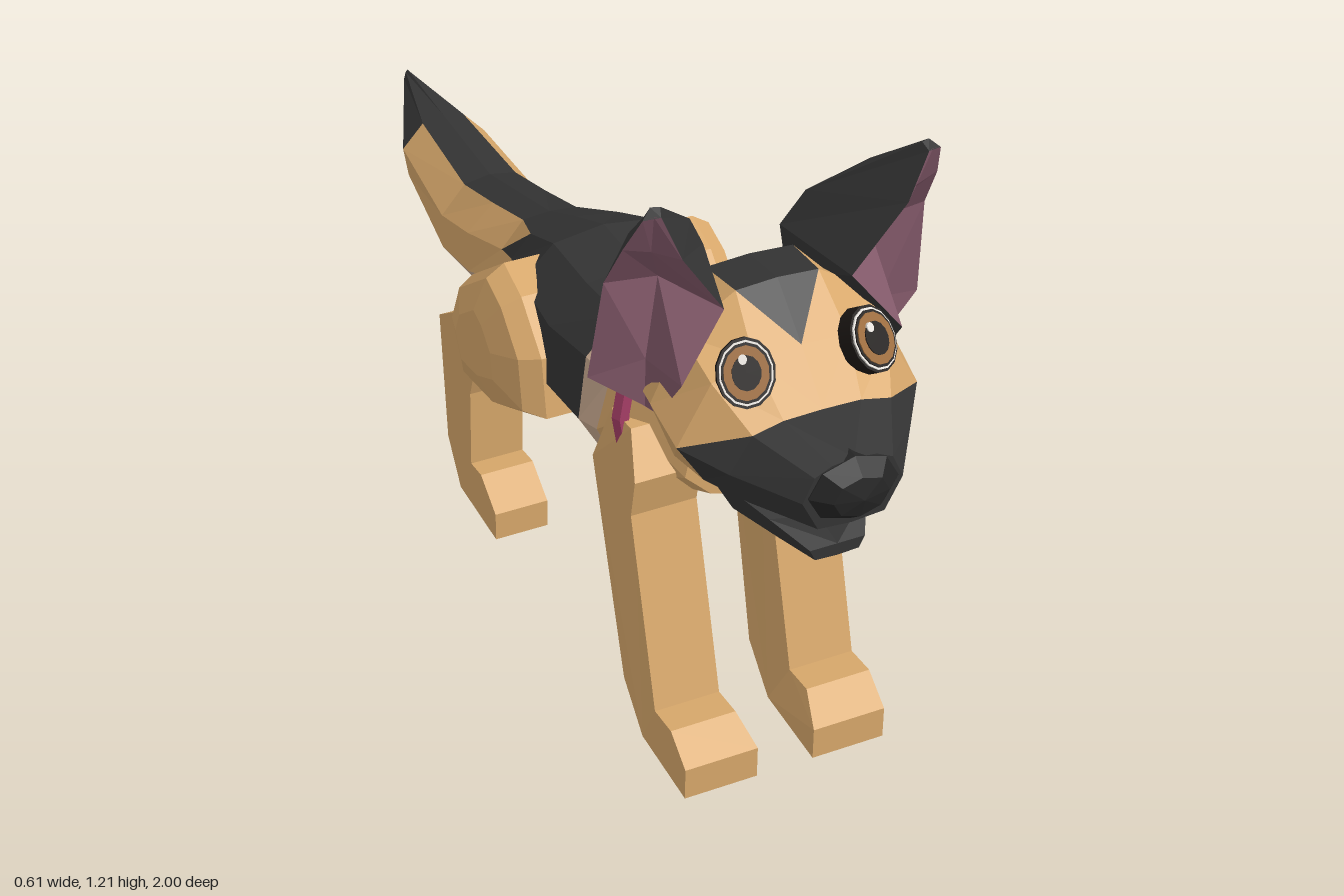
import * as THREE from 'three';

const COLORS = {
  tanFur: 0xd9a96c, blackFur: 0x343434, paleFur: 0xcbac92, earPink: 0x83596a,
  collarPink: 0xa83f68, noseBlack: 0x252525, eyeAmber: 0x9c6a38, pupilDark: 0x1c1714, glintWhite: 0xf4f0ea,
};
const mats = {};
for (const [name, color] of Object.entries(COLORS)) {
  mats[name] = new THREE.MeshStandardMaterial({ color });
  mats[name].name = name;
}
const palette = [mats.tanFur, mats.blackFur, mats.paleFur, mats.earPink];
const TAN = 0, BLACK = 1, PALE = 2, PINK = 3;

// Faceted normals for any geometry
function facet(geo) {
  const g = geo.index ? geo.toNonIndexed() : geo;
  g.computeVertexNormals();
  return g;
}

// Skin over rings of [x, y, z]; paint(i, j, t) picks the colour of each triangle
function loft(rings, paint, closed = true) {
  const bins = palette.map(() => []);
  const n = rings[0].length, last = rings.length - 1;
  const tri = (m, ...pts) => pts.forEach((p) => bins[m].push(...p));
  for (let i = 0; i < last; i++) {
    for (let j = 0; j < (closed ? n : n - 1); j++) {
      const k = (j + 1) % n;
      const a = rings[i][j], b = rings[i][k], c = rings[i + 1][j], d = rings[i + 1][k];
      tri(paint(i, j, 0), a, b, d);
      tri(paint(i, j, 1), a, d, c);
    }
  }
  for (let j = 1; j < n - 1; j++) {
    tri(paint(0, j, 0), rings[0][0], rings[0][j + 1], rings[0][j]);
    tri(paint(last - 1, j, 0), rings[last][0], rings[last][j], rings[last][j + 1]);
  }
  const geo = new THREE.BufferGeometry();
  const pos = bins.flat();
  geo.setAttribute('position', new THREE.Float32BufferAttribute(pos, 3));
  let start = 0;
  bins.forEach((b, m) => {
    if (b.length) geo.addGroup(start, b.length / 3, m);
    start += b.length / 3;
  });
  return facet(geo);
}

// Half sections: [z, [x, y], ...] from top centre round to bottom centre
const sections = (rows) => rows.map(([z, ...pts]) => pts.map(([x, y]) => [x, y, z]));

// Mirror a non-indexed geometry across x = 0
function mirror(geo) {
  const g = geo.clone(), src = geo.attributes.position, dst = g.attributes.position;
  for (let i = 0; i < src.count; i++) {
    const k = i % 3 === 0 ? i : i % 3 === 1 ? i + 1 : i - 1;
    dst.setXYZ(i, -src.getX(k), src.getY(k), src.getZ(k));
  }
  g.computeVertexNormals();
  return g;
}

// Side profile of [z, y] points, extruded across x
function slab(profile, x0, x1, rule) {
  const shape = new THREE.Shape(profile.map(([z, y]) => new THREE.Vector2(z, y)));
  const g = new THREE.ExtrudeGeometry(shape, { depth: x1 - x0, bevelEnabled: false });
  g.rotateY(-Math.PI / 2).translate(x1, 0, 0);
  const p = g.attributes.position;
  for (let i = 0; i < p.count; i++) p.setX(i, rule(p.getX(i), p.getY(i), p.getZ(i)));
  g.clearGroups();
  return facet(g);
}

export function createModel() {
  const dog = new THREE.Group();
  dog.name = 'dog';
  const add = (name, geo, mat, parent = dog) => {
    const m = new THREE.Mesh(geo, mat);
    m.name = name;
    parent.add(m);
    return m;
  };
  const pair = (name, geo, mat) => {
    add(name + 'Left', geo, mat);
    add(name + 'Right', mirror(geo), mat);
  };

  // Body, chest to rump
  const rump = [-0.25, [0, 0.56], [0.055, 0.555], [0.10, 0.50], [0.11, 0.43], [0.07, 0.35], [0, 0.32]];
  const bodyRings = sections([
    [0.58, [0, 0.64], [0.06, 0.63], [0.10, 0.59], [0.11, 0.54], [0.06, 0.49], [0, 0.47]],
    [0.46, [0, 0.77], [0.09, 0.75], [0.145, 0.69], [0.165, 0.60], [0.14, 0.47], [0, 0.41]],
    [0.38, [0, 0.69], [0.10, 0.68], [0.16, 0.63], [0.185, 0.53], [0.14, 0.43], [0, 0.39]],
    [0.29, [0, 0.70], [0.10, 0.69], [0.165, 0.62], [0.18, 0.49], [0.13, 0.40], [0, 0.375]],
    [0.15, [0, 0.685], [0.10, 0.67], [0.175, 0.60], [0.185, 0.48], [0.12, 0.39], [0, 0.365]],
    [0, [0, 0.68], [0.10, 0.665], [0.165, 0.60], [0.17, 0.47], [0.11, 0.37], [0, 0.33]],
    [-0.13, [0, 0.62], [0.09, 0.605], [0.13, 0.56], [0.15, 0.46], [0.10, 0.34], [0, 0.31]],
    rump,
  ]);
  const coat = [
    [TAN, TAN, TAN, TAN, TAN], [BLACK, TAN, TAN, TAN, TAN], [BLACK, PALE, PALE, PALE, PALE],
    [BLACK, BLACK, BLACK, PALE, PALE], [BLACK, BLACK, BLACK, PALE, PALE],
    [BLACK, BLACK, TAN, TAN, PALE], [BLACK, TAN, TAN, TAN, PALE],
  ];
  pair('body', loft(bodyRings, (i, j, t) => (i === 6 && j === 1 && t === 0 ? BLACK : coat[i][Math.min(j, 4)]), false), palette);

  // Tail with dark stripe, pale underside and dark tip
  const tailRings = sections([
    rump,
    [-0.40, [0, 0.515], [0.055, 0.505], [0.11, 0.45], [0.11, 0.36], [0.06, 0.285], [0, 0.275]],
    [-0.55, [0, 0.47], [0.055, 0.46], [0.105, 0.40], [0.105, 0.325], [0.05, 0.245], [0, 0.235]],
    [-0.80, [0, 0.47], [0.045, 0.46], [0.09, 0.41], [0.08, 0.345], [0.04, 0.30], [0, 0.295]],
    [-1.00, [0, 0.47], [0.004, 0.465], [0.008, 0.45], [0.008, 0.44], [0.004, 0.425], [0, 0.42]],
  ]);
  pair('tail', loft(tailRings, (i, j) => (i === 3 || j === 0 ? BLACK : j < 3 ? TAN : PALE), false), palette);

  // Head, muzzle to nape
  const headRings = sections([
    [0.96, [0, 0.815], [0.04, 0.81], [0.07, 0.795], [0.09, 0.75], [0.06, 0.69], [0, 0.685]],
    [0.85, [0, 0.835], [0.07, 0.833], [0.125, 0.82], [0.165, 0.755], [0.125, 0.685], [0, 0.68]],
    [0.77, [0, 0.91], [0.085, 0.905], [0.16, 0.88], [0.22, 0.77], [0.17, 0.69], [0, 0.67]],
    [0.68, [0, 0.985], [0.075, 0.98], [0.17, 0.92], [0.225, 0.80], [0.18, 0.68], [0, 0.62]],
    [0.58, [0, 0.97], [0.08, 0.965], [0.16, 0.90], [0.21, 0.79], [0.15, 0.66], [0, 0.59]],
    [0.51, [0, 0.91], [0.07, 0.90], [0.14, 0.86], [0.19, 0.77], [0.13, 0.64], [0, 0.58]],
    [0.48, [0, 0.80], [0.07, 0.79], [0.13, 0.75], [0.155, 0.69], [0.10, 0.60], [0, 0.57]],
  ]);
  const headPaint = (i, j, t) => {
    if (i === 0) return BLACK;
    if (i === 1) return j > 2 || (j === 2 && t === 0) ? BLACK : TAN;
    if (i === 2) return j === 0 && t === 1 ? BLACK : TAN;
    return i === 3 && j === 0 ? BLACK : TAN;
  };
  pair('head', loft(headRings, headPaint, false), palette);

  // Open lower jaw
  const jawRings = sections([
    [0.92, [0, 0.612], [0.05, 0.612], [0.04, 0.59], [0, 0.588]],
    [0.85, [0, 0.62], [0.09, 0.64], [0.07, 0.595], [0, 0.59]],
    [0.76, [0, 0.63], [0.145, 0.68], [0.11, 0.605], [0, 0.592]],
    [0.65, [0, 0.65], [0.17, 0.70], [0.12, 0.63], [0, 0.605]],
  ]);
  pair('lowerJaw', loft(jawRings, () => BLACK, false), palette);

  // Nose
  const nose = new THREE.SphereGeometry(1, 8, 5).rotateX(Math.PI / 2).scale(0.085, 0.065, 0.055).translate(0, 0.757, 0.945);
  add('nose', facet(nose), mats.noseBlack);

  // Ears: inner rim, hollow, outer rim, back, inner back at each level
  const earRings = [
    [[0.205, 0.765, 0.67], [0.215, 0.765, 0.64], [0.235, 0.77, 0.60], [0.20, 0.80, 0.57], [0.14, 0.84, 0.58]],
    [[0.20, 0.87, 0.745], [0.215, 0.86, 0.64], [0.305, 0.83, 0.61], [0.22, 0.85, 0.54], [0.08, 0.90, 0.56]],
    [[0.115, 0.98, 0.72], [0.19, 1.01, 0.63], [0.29, 1.03, 0.64], [0.20, 1.04, 0.54], [0.07, 0.99, 0.55]],
    [[0.20, 1.11, 0.74], [0.235, 1.11, 0.70], [0.28, 1.12, 0.69], [0.20, 1.12, 0.61], [0.105, 1.06, 0.57]],
    [[0.235, 1.195, 0.735], [0.245, 1.195, 0.73], [0.262, 1.19, 0.725], [0.245, 1.205, 0.715], [0.23, 1.205, 0.72]],
  ];
  pair('ear', loft(earRings, (i, j) => (j < 2 ? PINK : BLACK)), palette);

  // Eyes: stacked discs facing forward, up and out
  const discs = [
    ['eyeRim', 0.048, 0.03, 0, 0, 0, 'pupilDark'], ['eyeWhite', 0.044, 0.004, 0, 0, 0.016, 'glintWhite'],
    ['eyeOutline', 0.041, 0.004, 0, 0, 0.018, 'pupilDark'], ['iris', 0.037, 0.004, 0, 0, 0.020, 'eyeAmber'],
    ['pupil', 0.024, 0.004, 0, 0, 0.022, 'pupilDark'], ['glint', 0.007, 0.004, -0.006, 0.018, 0.024, 'glintWhite'],
  ];
  for (const s of [1, -1]) {
    const eye = new THREE.Group();
    eye.name = s > 0 ? 'eyeLeft' : 'eyeRight';
    eye.position.set(s * 0.11, 0.9, 0.79);
    eye.lookAt(s * 0.41, 1.45, 1.54);
    eye.scale.y = 1.2;
    for (const [name, r, h, x, y, z, mat] of discs) {
      add(name, new THREE.CylinderGeometry(r, r, h, 14).rotateX(Math.PI / 2).translate(x, y, z), mats[mat], eye);
    }
    dog.add(eye);
  }

  // Collar
  add('collar', facet(new THREE.TorusGeometry(0.175, 0.017, 6, 20).translate(0, 0.61, 0.458)), mats.collarPink);

  // Front legs with paws
  const frontLeg = [[0.60, 0], [0.775, 0], [0.775, 0.065], [0.715, 0.107], [0.65, 0.10], [0.545, 0.46],
    [0.56, 0.54], [0.50, 0.61], [0.42, 0.60], [0.385, 0.48], [0.52, 0.075]];
  pair('frontLeg', slab(frontLeg, 0.065, 0.195, (x, y) => (x < 0.1 ? (y < 0.09 ? 0.055 : 0.07) : y > 0.57 ? 0.175 : x)), mats.tanFur);

  // Hind legs with paws
  const hindLeg = [[-0.20, 0], [-0.02, 0], [-0.02, 0.06], [-0.09, 0.107], [-0.14, 0.10], [-0.135, 0.27],
    [-0.10, 0.37], [-0.20, 0.42], [-0.285, 0.36], [-0.26, 0.085]];
  pair('hindLeg', slab(hindLeg, 0.11, 0.218, (x) => x), mats.tanFur);

  // Thighs, bulging outwards
  const thigh = [[0.17, 0.41], [0, 0.32], [-0.17, 0.29], [-0.23, 0.40], [-0.18, 0.51], [-0.02, 0.635], [0.06, 0.61], [0.15, 0.53]];
  const thighRings = [[0.08, 1], [0.19, 1], [0.225, 0.85], [0.25, 0.45]].map(([x, s]) =>
    thigh.map(([z, y]) => [x, 0.47 + (y - 0.47) * s, -0.03 + (z + 0.03) * s]));
  pair('thigh', loft(thighRings, () => TAN), palette);

  return dog;
}
